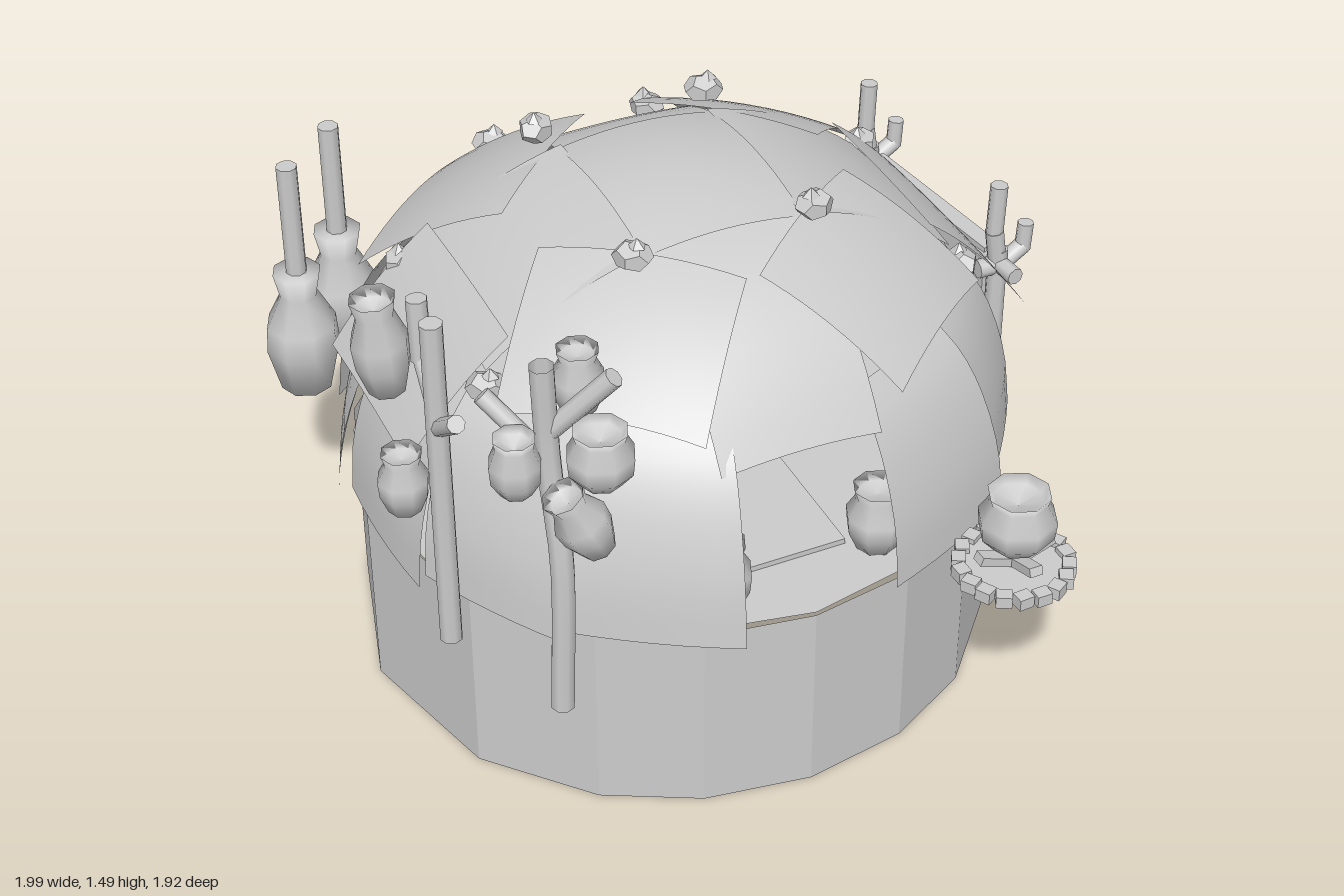
import * as THREE from 'three';

const grey = new THREE.MeshStandardMaterial({ color: 0xcccccc, side: THREE.DoubleSide });
const facet = new THREE.MeshStandardMaterial({ color: 0xcccccc, side: THREE.DoubleSide, flatShading: true });
const CX = -0.035, CZ = -0.08, ROOF_Z = -0.035, RAD = Math.PI / 180;
const V = (x, y, z) => new THREE.Vector3(x, y, z);

function add(parent, name, geometry, x = 0, y = 0, z = 0, material = grey) {
  const mesh = new THREE.Mesh(geometry, material);
  mesh.name = name;
  mesh.position.set(x, y, z);
  parent.add(mesh);
  return mesh;
}

// Surface sheet: fn(u, v) gives a point, both parameters 0..1
function sheet(fn, nu = 8, nv = 8) {
  const g = new THREE.PlaneGeometry(1, 1, nu, nv);
  const p = g.attributes.position;
  for (let i = 0; i < p.count; i++) {
    const q = fn(p.getX(i) + 0.5, p.getY(i) + 0.5);
    p.setXYZ(i, q.x, q.y, q.z);
  }
  g.computeVertexNormals();
  return g;
}

// Round stick between two points
function stick(parent, name, a, b, r) {
  const dir = b.clone().sub(a);
  const mesh = add(parent, name, new THREE.CylinderGeometry(r, r, dir.length(), 8));
  mesh.position.copy(a).add(b).multiplyScalar(0.5);
  mesh.quaternion.setFromUnitVectors(V(0, 1, 0), dir.normalize());
}

// Eight-sided vessel, profile scaled by radius and height
function vessel(parent, name, profile, x, y, z, r, h, tilt = 0) {
  const pts = profile.map(([a, b]) => new THREE.Vector2(a * r, b * h));
  add(parent, name, new THREE.LatheGeometry(pts, 8), x, y, z).rotation.z = tilt;
}
const POT = [[0, 0], [0.6, 0], [0.95, 0.25], [1, 0.55], [0.72, 0.85], [0.8, 1], [0.62, 0.88], [0, 0.75]];
const JAR = [[0, 0], [0.65, 0], [0.95, 0.3], [1, 0.55], [0.65, 0.82], [0.8, 1], [0.6, 0.9], [0, 0.85]];
const CLUB = [[0, 0.02], [0.7, 0], [1, 0.35], [0.95, 0.55], [0.5, 0.8], [0.65, 1], [0, 1]];

function buildBase(g) {
  // Open drum with unevenly spaced sides
  const half = [0, 19, 37, 60, 90, 120, 141, 160];
  const angles = [...half, 180, ...half.slice(1).reverse().map(a => 360 - a), 360];
  const drum = new THREE.CylinderGeometry(1, 1, 0.54, 16, 1, true);
  const p = drum.attributes.position;
  for (let i = 0; i < p.count; i++) {
    const a = angles[i % 17] * RAD;
    p.setX(i, Math.sin(a) * 0.845);
    p.setZ(i, Math.cos(a) * 0.83);
  }
  add(g, 'base', drum, CX, 0.27, CZ, facet);
  add(g, 'floor', new THREE.CircleGeometry(0.83, 16), CX, 0.55, CZ).rotation.x = -Math.PI / 2;
  add(g, 'floorMat', new THREE.BoxGeometry(0.36, 0.03, 0.9), CX, 0.55, 0.1);
}

// Lower ring of overlapping hides, leaving the doorway free at the front
function buildWall(g) {
  const profile = new THREE.CatmullRomCurve3([
    V(0.87, 0.54, 0), V(0.855, 0.7, 0), V(0.81, 0.86, 0), V(0.755, 0.97, 0), V(0.69, 1.045, 0)]);
  const step = 27.5;
  for (let k = 0; k < 12; k++) {
    const mid = 16 + step * (k + 0.5);
    add(g, 'wallHide', sheet((u, v) => {
      const q = profile.getPoint(v);
      const rel = (u - 0.5) * (step + 1.5) * RAD;
      const chord = THREE.MathUtils.lerp(1, Math.cos(step / 2 * RAD) / Math.cos(rel), 0.6);
      const r = q.x * chord - 0.02 + 0.04 * u * (1 - 0.5 * v);
      const a = mid * RAD + rel;
      return V(CX + Math.sin(a) * r, q.y, CZ + Math.cos(a) * r);
    }, 6, 10));
  }
}

// Roof hide: rectangle in plan facing an angle, draped over the dome
function roofHide(g, name, deg, v0, v1, w, drop, lift, across) {
  const s = Math.sin(deg * RAD), c = Math.cos(deg * RAD);
  add(g, name, sheet((u, v) => {
    const x = (u - 0.5) * w, d = THREE.MathUtils.lerp(v1, v0, v);
    const r2 = d * d + across * x * x;
    return V(CX + s * d + c * x, 1.365 + lift - 0.5 * r2 - drop * r2 * r2, ROOF_Z + c * d - s * x);
  }, 10, 10));
}

function buildRoof(g) {
  roofHide(g, 'crownHide', 0, -0.265, 0.265, 0.42, 0, 0.01, 1);
  roofHide(g, 'frontHide', 0, 0.25, 0.69, 0.42, 0.67, 0, 0.3);
  roofHide(g, 'backHide', 180, 0.25, 0.7, 0.42, 0.6, 0, 0.3);
  for (const [side, reach] of [[90, 0.855], [-90, 0.83]]) {
    roofHide(g, 'sideUpperHide', side, 0.2, 0.62, 0.53, 0.25, -0.005, 0.3);
    roofHide(g, 'sideHide', side, 0.56, reach, 0.53, 0.26, 0.02, 0.15);
  }
  for (const a of [40, -40]) roofHide(g, 'frontCornerHide', a, 0.33, 0.7, 0.51, 0.13, 0.015, 0.8);
  for (const a of [137, -137]) roofHide(g, 'backCornerHide', a, 0.36, 0.77, 0.5, 0.06, 0.015, 0.8);

  // Knobbly pegs pinning the hides
  const pegs = [[-0.26, -0.73, 1.1], [0.19, -0.73, 1.1], [-0.28, -0.35, 1.36], [0.18, -0.35, 1.36],
    [-0.67, -0.3, 1.1], [0.62, -0.32, 1.1], [-0.66, 0.24, 1.08], [0.6, 0.26, 1.08],
    [0.19, 0.25, 1.36], [-0.28, 0.24, 1.34]];
  pegs.forEach(([x, z, y], i) => {
    const peg = add(g, 'peg', new THREE.DodecahedronGeometry(0.047), x, y, z, facet);
    peg.scale.set(1.1, 0.8, 0.95);
    peg.rotation.y = i * 2;
    add(peg, 'pegTip', new THREE.ConeGeometry(0.022, 0.03, 5), 0.01, 0.05, 0, facet);
  });
}

// Forked posts with a board hung between them
function buildRack(g) {
  const rack = new THREE.Group();
  rack.name = 'rack';
  for (const [x, z] of [[0.885, -0.02], [0.82, -0.62]]) {
    stick(rack, 'post', V(x, 0.54, z), V(x, 0.87, z), 0.027);
    stick(rack, 'longProng', V(x, 0.83, z), V(x - 0.015, 0.93, z), 0.026);
    stick(rack, 'longProngTip', V(x - 0.015, 0.92, z), V(x - 0.01, 1.07, z), 0.024);
    stick(rack, 'shortProng', V(x, 0.81, z), V(x + 0.075, 0.86, z), 0.024);
    stick(rack, 'shortProngTip', V(x + 0.075, 0.85, z), V(x + 0.08, 0.93, z), 0.022);
    stick(rack, 'crossPeg', V(x - 0.06, 0.82, z), V(x + 0.03, 0.82, z), 0.026);
  }
  stick(rack, 'rail', V(0.895, 0.825, 0.06), V(0.815, 0.825, -0.69), 0.024);
  const board = add(rack, 'board', new THREE.BoxGeometry(0.05, 0.29, 0.53), 0.855, 0.71, -0.32);
  board.rotation.y = 0.13;
  g.add(rack);
}

// Branching poles hung with vessels
function buildPotTrees(g) {
  const tree = new THREE.Group();
  tree.name = 'potTrees';
  stick(tree, 'pole', V(-0.85, 0.52, 0.43), V(-0.85, 1.44, 0.43), 0.028);
  stick(tree, 'branch', V(-0.85, 1.15, 0.43), V(-0.85, 1.25, 0.56), 0.022);
  stick(tree, 'branch', V(-0.85, 1.2, 0.43), V(-0.85, 1.3, 0.35), 0.022);
  stick(tree, 'branchTip', V(-0.85, 1.29, 0.35), V(-0.85, 1.45, 0.34), 0.026);
  vessel(tree, 'hangingJar', JAR, -0.9, 1.15, 0.24, 0.07, 0.26, 0.08);
  vessel(tree, 'hangingJar', JAR, -0.94, 0.95, 0.43, 0.062, 0.16);

  const bent = new THREE.CatmullRomCurve3([V(-0.7, 0.52, 0.76), V(-0.69, 0.95, 0.76), V(-0.7, 1.2, 0.73), V(-0.71, 1.48, 0.73)]);
  add(tree, 'bentPole', new THREE.TubeGeometry(bent, 12, 0.029, 8));
  stick(tree, 'branch', V(-0.7, 1.3, 0.73), V(-0.58, 1.47, 0.82), 0.024);
  stick(tree, 'branch', V(-0.7, 1.22, 0.73), V(-0.81, 1.36, 0.62), 0.022);
  vessel(tree, 'hangingPot', POT, -0.615, 1.2, 0.82, 0.08, 0.14);
  vessel(tree, 'hangingJar', JAR, -0.61, 1.31, 0.69, 0.062, 0.16);
  vessel(tree, 'hangingPot', POT, -0.78, 1.16, 0.73, 0.062, 0.15);
  vessel(tree, 'tiltedJar', JAR, -0.62, 1.01, 0.81, 0.065, 0.19, 0.45);
  g.add(tree);
}

// Long-handled vessels standing behind, and jars by the door
function buildVessels(g) {
  for (const [x, z] of [[-0.67, -0.83], [-0.83, -0.69]]) {
    vessel(g, 'handledVessel', CLUB, x, 0.52, z, 0.1, 0.36);
    stick(g, 'handle', V(x, 0.85, z), V(x, 1.2, z), 0.028);
  }
  vessel(g, 'doorJar', JAR, -0.235, 0.55, 0.62, 0.085, 0.19);
  vessel(g, 'doorJar', JAR, 0.215, 0.55, 0.58, 0.08, 0.18);
}

function buildCampfire(g) {
  const fire = new THREE.Group();
  fire.name = 'campfire';
  fire.position.set(0.48, 0.54, 0.8);
  add(fire, 'hearth', new THREE.CylinderGeometry(0.13, 0.13, 0.015, 18), 0, 0.01, 0);
  for (let i = 0; i < 18; i++) {
    const a = i * Math.PI / 9;
    add(fire, 'hearthStone', new THREE.BoxGeometry(0.04, 0.032, 0.035),
      Math.sin(a) * 0.135, 0.016, Math.cos(a) * 0.135, facet).rotation.y = a + (i % 3) * 0.2;
  }
  for (let i = 0; i < 4; i++) {
    const a = i * Math.PI / 2;
    const log = add(fire, 'log', new THREE.BoxGeometry(0.11, 0.024, 0.035), Math.cos(a) * 0.05, 0.05, -Math.sin(a) * 0.05);
    log.rotation.set(0, a, 0.35);
  }
  vessel(fire, 'cookingPot', POT, 0, 0.08, 0, 0.1, 0.16);
  g.add(fire);
}

export function createModel() {
  const g = new THREE.Group();
  g.name = 'hideHut';
  [buildBase, buildWall, buildRoof, buildRack, buildPotTrees, buildVessels, buildCampfire].forEach(build => build(g));
  return g;
}
